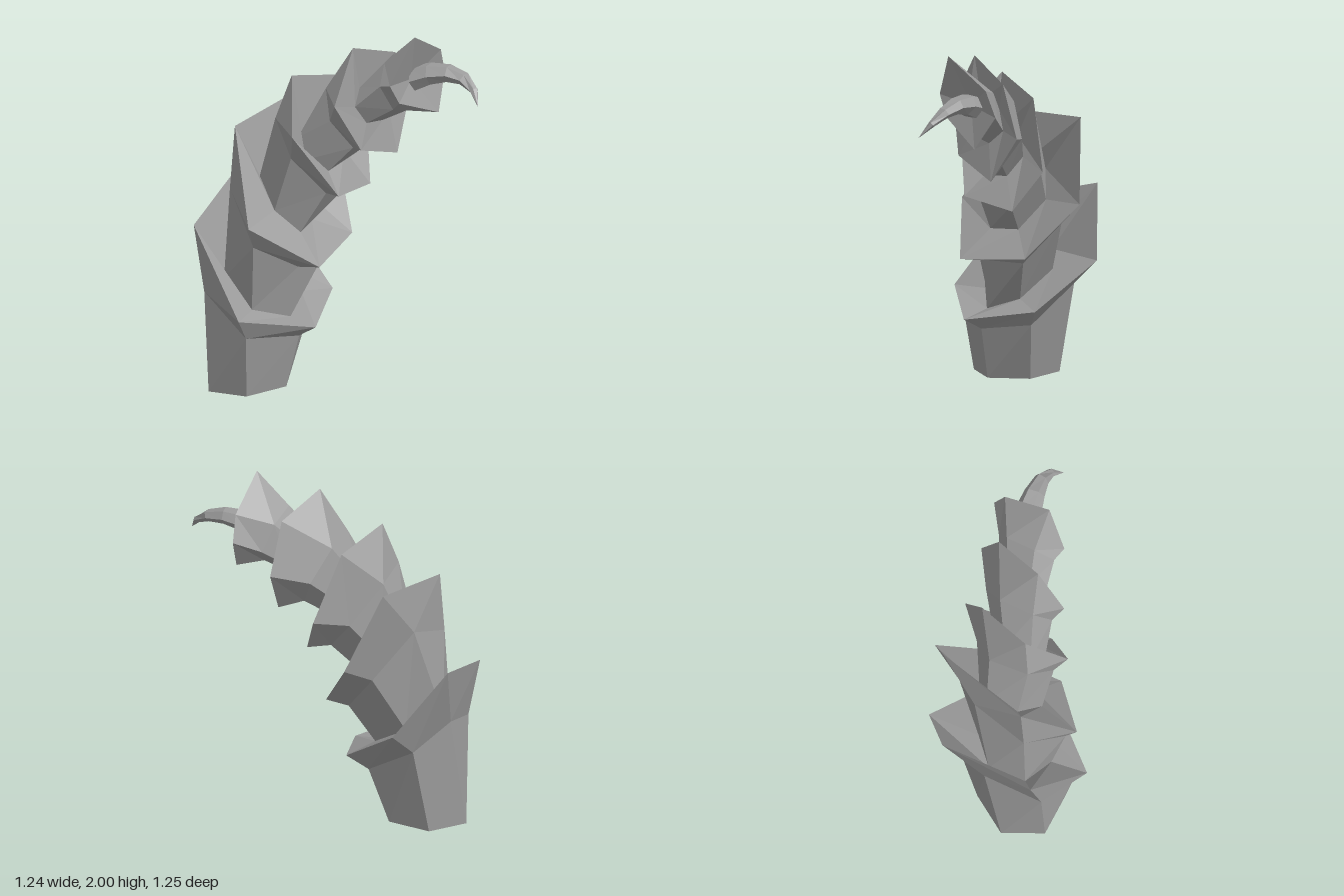
import * as THREE from 'three';

const V = (p) => new THREE.Vector3(...p);

// Six corners, given one by one or as a skewed hexagon: centre o, half-diagonals a and c.
function hexRing(section) {
  if (section.length === 6) return section.map(V);
  const [O, A, C] = section.map(V);
  const D = C.clone().sub(A);
  return [A, C, D, A.clone().negate(), C.clone().negate(), D.clone().negate()].map((p) => p.add(O));
}

// Skin a list of six-cornered sections, leaving out collapsed triangles.
function loft(name, sections, material) {
  const rings = sections.map(hexRing);
  const points = [];
  const tri = (p, q, r) => {
    const area = q.clone().sub(p).cross(r.clone().sub(p)).length();
    if (area > 1e-7) points.push(p, q, r);
  };
  for (let i = 0; i < rings.length - 1; i++) {
    for (let j = 0; j < 6; j++) {
      const k = (j + 1) % 6;
      const [low, high] = [rings[i], rings[i + 1]];
      tri(low[j], high[j], low[k]);
      tri(low[k], high[j], high[k]);
    }
  }
  const geometry = new THREE.BufferGeometry().setFromPoints(points);
  geometry.computeVertexNormals();
  const mesh = new THREE.Mesh(geometry, material);
  mesh.name = name;
  return mesh;
}

// Neck and shoulder of each segment
const BODIES = [
  [[[-0.35, 0.02, -0.22], [0.24, 0.02, 0], [0.12, 0.01, 0.2]],
    [[0, 0.37, -0.19], [-0.18, 0.32, 0.03], [-0.5, 0.35, 0.03],
      [-0.6, 0.55, -0.25], [-0.35, 0.66, -0.45], [-0.1, 0.55, -0.46]]],
  [[[-0.27, 0.55, -0.21], [0.2, -0.05, 0.06], [0.06, -0.13, 0.2]],
    [[0.08, 0.74, -0.12], [-0.18, 0.7, 0.02], [-0.44, 0.84, 0],
      [-0.44, 1.1, -0.26], [-0.155, 1.22, -0.39], [0.08, 0.98, -0.34]]],
  [[[-0.155, 1.03, -0.165], [0.135, -0.13, 0.04], [0.005, -0.15, 0.155]],
    [[-0.055, 1.29, -0.075], [0.19, -0.21, 0.04], [0.005, -0.18, 0.165]]],
  [[[-0.02, 1.32, -0.03], [0.13, -0.08, 0.01], [0, -0.1, 0.09]],
    [[0.11, 1.51, 0.05], [0.14, -0.17, 0], [-0.03, -0.15, 0.1]]],
  [[[0.2, 1.58, 0.13], [0.07, -0.1, 0], [-0.06, -0.08, 0.06]],
    [[0.31, 1.69, 0.22], [0.08, -0.14, 0], [-0.07, -0.1, 0.08]]],
];

// Jagged flared rim of each segment, corner by corner
const RIMS = [
  [[0.13, 0.48, -0.17], [-0.14, 0.39, 0.14], [-0.56, 0.46, 0.06],
    [-0.62, 0.9, -0.33], [-0.21, 1.06, -0.625], [0.08, 0.72, -0.53]],
  [[0.205, 0.8, -0.09], [-0.13, 0.73, 0.165], [-0.49, 0.96, 0.04],
    [-0.41, 1.44, -0.26], [0.08, 1.52, -0.44], [0.28, 1.1, -0.37]],
  [[0.265, 1.09, 0], [-0.02, 1.11, 0.175], [-0.27, 1.46, 0.12],
    [-0.165, 1.735, -0.08], [0.15, 1.67, -0.155], [0.33, 1.31, -0.15]],
  [[0.35, 1.29, 0.145], [0.08, 1.37, 0.24], [-0.07, 1.63, 0.22],
    [0.08, 1.915, 0.15], [0.37, 1.83, 0.085], [0.475, 1.55, 0.04]],
  [[0.52, 1.53, 0.29], [0.245, 1.64, 0.36], [0.18, 1.75, 0.375],
    [0.33, 2, 0.375], [0.56, 1.86, 0.24], [0.605, 1.72, 0.2]],
];

export function createModel() {
  const group = new THREE.Group();
  group.name = 'segmentedTail';
  const material = new THREE.MeshStandardMaterial({
    color: 0x9c9c9c, flatShading: true, side: THREE.DoubleSide,
  });

  // Segments, open at the foot; each rim folds inward to the next neck,
  // and the last one to a recessed floor
  const floor = [[0.37, 1.73, 0.26], [0, 0, 0], [0, 0, 0]];
  BODIES.forEach((body, i) => {
    const inner = i < 4 ? BODIES[i + 1][0] : floor;
    group.add(loft(`tailSegment${i + 1}`, [...body, RIMS[i], inner], material));
  });

  // Curved stinger tapering to a point
  const path = new THREE.CatmullRomCurve3([
    [0.4, 1.73, 0.25], [0.47, 1.77, 0.34], [0.55, 1.775, 0.44],
    [0.59, 1.73, 0.53], [0.58, 1.64, 0.62],
  ].map(V));
  const stinger = [];
  for (let i = 0; i <= 5; i++) {
    const t = i / 5;
    const r = 0.085 * Math.pow(1 - t, 0.8);
    const T = path.getTangent(t);
    const side = T.clone().cross(new THREE.Vector3(0, 1, 0)).normalize();
    const n = side.clone().cross(T);
    const c = side.clone().multiplyScalar(0.5).addScaledVector(n, 0.87);
    stinger.push([
      path.getPoint(t).toArray(),
      side.multiplyScalar(r).toArray(),
      c.multiplyScalar(r * 0.8).toArray(),
    ]);
  }
  group.add(loft('stinger', stinger, material));
  return group;
}
